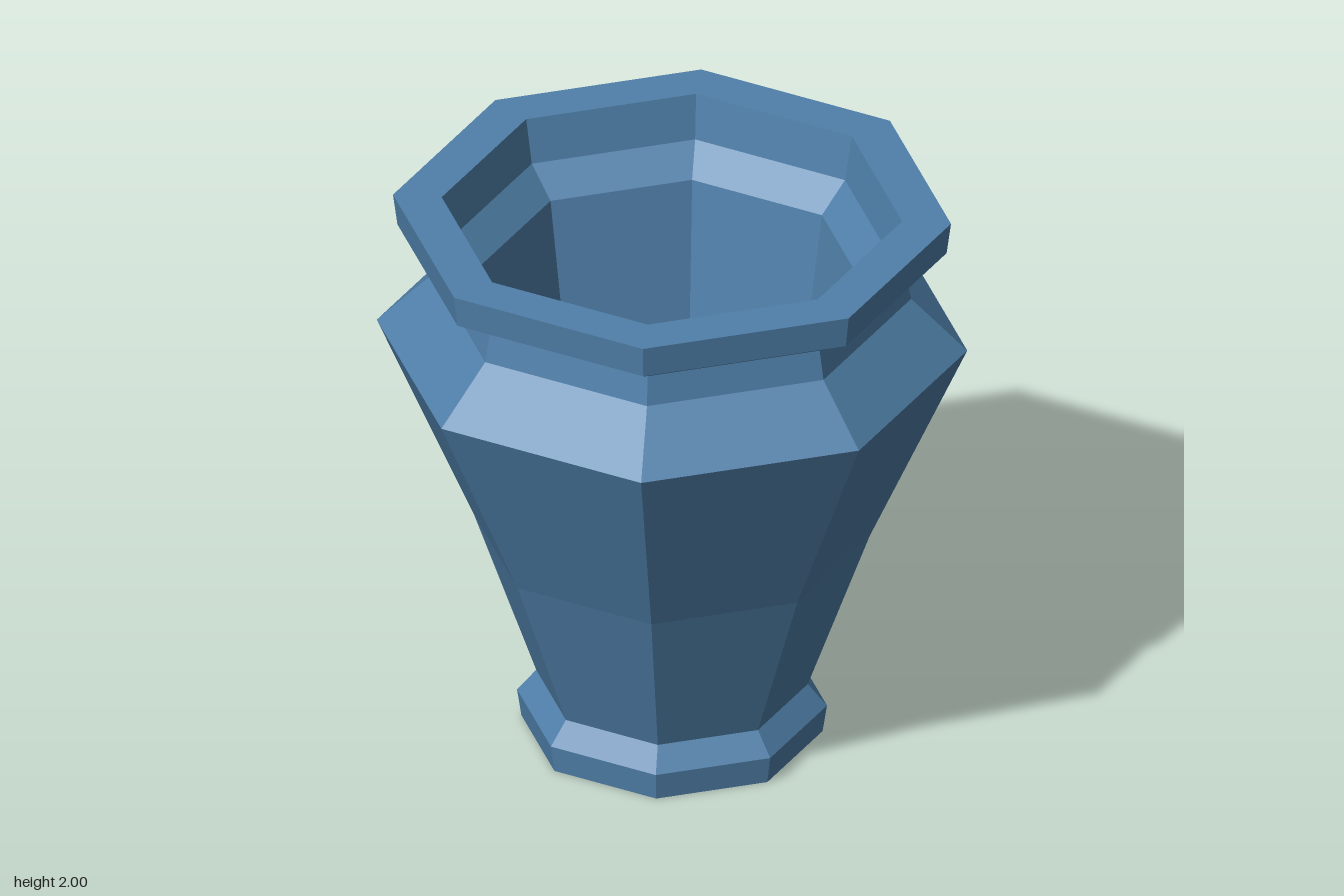
import * as THREE from 'three';

export function createModel() {
  const group = new THREE.Group();
  group.name = 'vase';
  const material = new THREE.MeshStandardMaterial({ color: 0x5080aa, flatShading: true });

  // Eight-sided ring of facets turned from [radius, height] points
  const turn = (name, profile) => {
    const points = profile.map(([r, y]) => new THREE.Vector2(r, y));
    const mesh = new THREE.Mesh(new THREE.LatheGeometry(points, 8), material);
    mesh.name = name;
    group.add(mesh);
  };

  // Closed underside and flared foot
  turn('foot', [[0, 0], [0.51, 0], [0.525, 0.1], [0.46, 0.18]]);
  // Tapered body, shoulder and neck
  turn('body', [[0.46, 0.18], [0.67, 0.77], [1, 1.51], [0.81, 1.7], [0.79, 1.805]]);
  // Overhanging lip with a flat top
  turn('rim', [[0.79, 1.805], [0.93, 1.885], [0.945, 2], [0.78, 2]]);
  // Hollow inside, from the lip down to the floor
  turn('interior', [[0.78, 2], [0.75, 1.84], [0.65, 1.74], [0.445, 0.35], [0, 0.35]]);

  return group;
}
